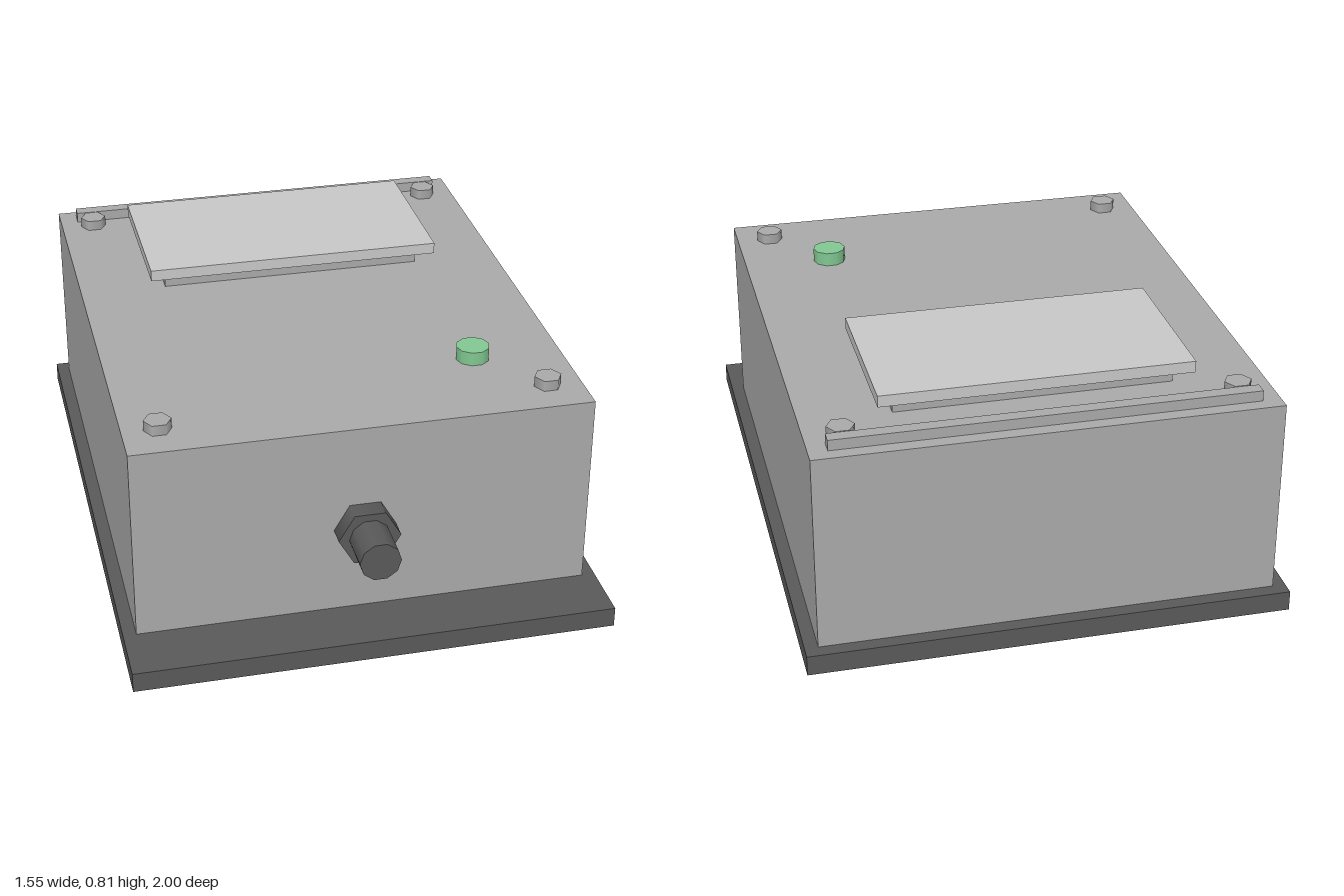
import * as THREE from 'three';

export function createModel() {
  const model = new THREE.Group();
  model.name = 'controlBox';

  const mat = (name, color) => {
    const m = new THREE.MeshStandardMaterial({ color });
    m.name = name;
    return m;
  };
  const grey = mat('housing grey', 0xaaaaaa);
  const dark = mat('dark grey', 0x5a5a5b);
  const light = mat('panel light grey', 0xc8c8c8);
  const green = mat('button green', 0x82c892);

  const add = (name, geometry, material, x, y, z) => {
    const mesh = new THREE.Mesh(geometry, material);
    mesh.name = name;
    mesh.position.set(x, y, z);
    model.add(mesh);
    return mesh;
  };
  // Box given by its width and its y and z limits, centred on x
  const box = (name, material, w, y0, y1, z0, z1) =>
    add(name, new THREE.BoxGeometry(w, y1 - y0, z1 - z0), material, 0, (y0 + y1) / 2, (z0 + z1) / 2);
  // Prism with corners pointing along +x and -x
  const prism = (r, h, sides) =>
    new THREE.CylinderGeometry(r, r, h, sides, 1, false, Math.PI / sides);

  // Base plate and housing
  const top = 0.722;
  box('basePlate', dark, 1.555, 0, 0.067, -1, 1);
  box('housing', grey, 1.47, 0.067, top, -0.955, 0.8);

  // Raised pad, display panel and rear hinge strip
  box('displayPad', grey, 0.89, top, 0.762, -0.72, -0.28);
  box('displayPanel', light, 1, 0.775, 0.813, -0.777, -0.225);
  box('hingeStrip', grey, 1.35, top, 0.757, -0.91, -0.867);

  // Corner bolts
  for (const x of [-0.622, 0.622])
    for (const z of [-0.825, 0.665])
      add('cornerBolt', prism(0.044, 0.035, 6), grey, x, top + 0.0175, z);

  // Push button
  add('pushButton', prism(0.055, 0.046, 10), green, 0.442, top + 0.023, 0.442);

  // Cable gland on the front: hex nut and stub
  add('glandNut', prism(0.1, 0.065, 6), dark, 0, 0.363, 0.8325).rotation.x = Math.PI / 2;
  add('glandStub', prism(0.066, 0.135, 10), dark, 0, 0.363, 0.9325).rotation.x = Math.PI / 2;

  return model;
}
